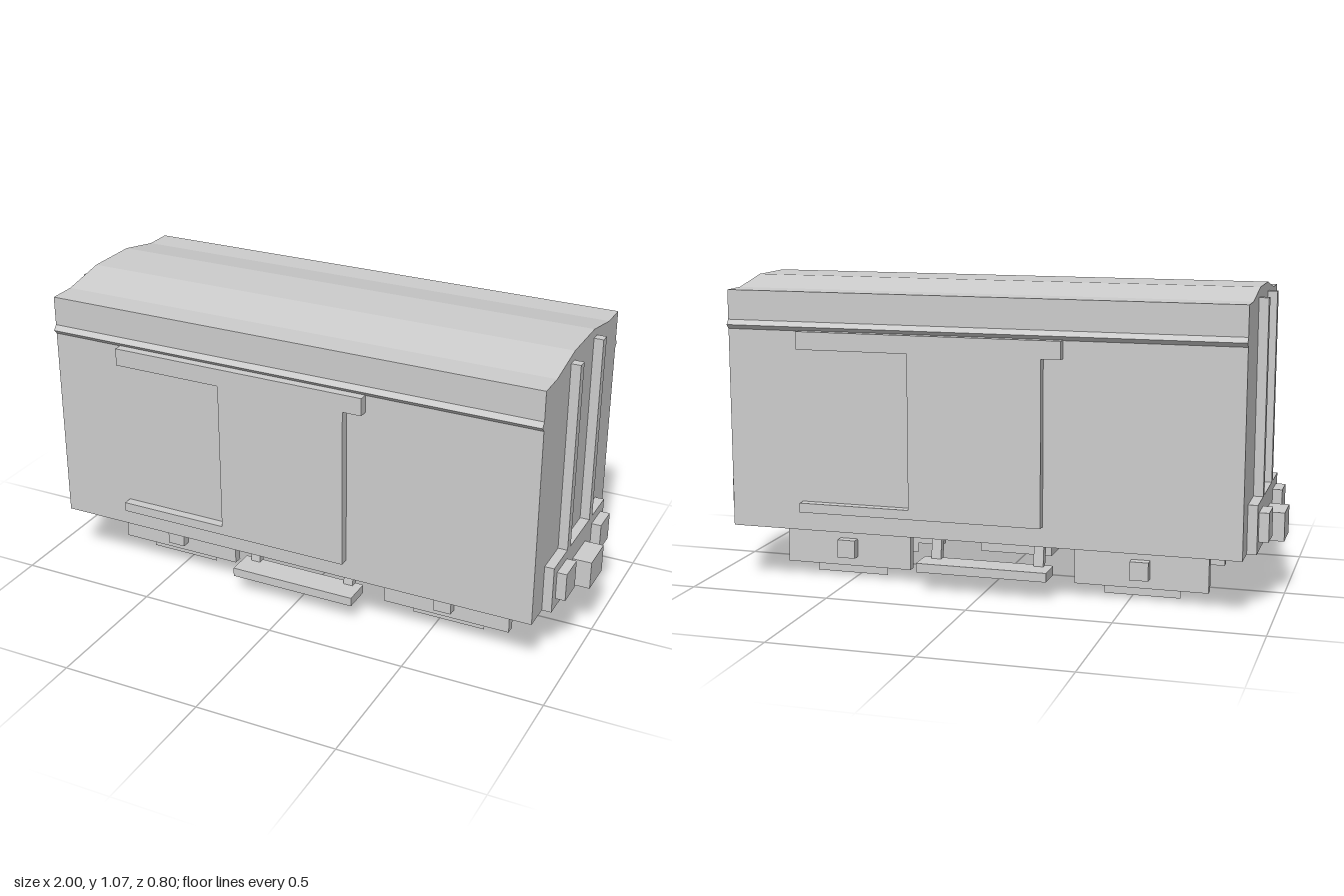
import * as THREE from 'three';

const grey = new THREE.MeshStandardMaterial({ color: 0xcccccc, flatShading: true });
const thin = new THREE.MeshStandardMaterial({ color: 0xcccccc, flatShading: true, side: THREE.DoubleSide });

// box given by its extents along each axis
function box(parent, name, [x0, x1], [y0, y1], [z0, z1]) {
  const mesh = new THREE.Mesh(new THREE.BoxGeometry(x1 - x0, y1 - y0, z1 - z0), grey);
  mesh.position.set((x0 + x1) / 2, (y0 + y1) / 2, (z0 + z1) / 2);
  mesh.name = name;
  parent.add(mesh);
}

const shapeOf = (points) => new THREE.Shape(points.map(([a, b]) => new THREE.Vector2(a, b)));

// extrude a (z, y) outline along x from x0 to x1
function alongX(parent, name, points, x0, x1) {
  const geo = new THREE.ExtrudeGeometry(shapeOf(points), { depth: x1 - x0, bevelEnabled: false });
  geo.rotateY(-Math.PI / 2).translate(x1, 0, 0);
  const mesh = new THREE.Mesh(geo, grey);
  mesh.name = name;
  parent.add(mesh);
}

export function createModel() {
  const wagon = new THREE.Group();
  wagon.name = 'boxWagon';

  // body with rain strips and faceted roof
  const half = [[0.367, 0.2], [0.367, 0.9], [0.381, 0.915], [0.367, 0.932],
    [0.367, 1.035], [0.267, 1.035], [0.1, 1.067]];
  const mirrored = half.map(([z, y]) => [-z, y]).reverse();
  alongX(wagon, 'body', [...half, ...mirrored], -0.9, 0.9);

  // everything on one half turn: end fittings, sliding door, axle, step
  for (const turn of [0, Math.PI]) {
    const side = new THREE.Group();
    side.name = turn ? 'rearHalf' : 'frontHalf';
    side.rotation.y = turn;
    wagon.add(side);

    // end wall fittings
    box(side, 'bufferBeam', [0.9, 0.933], [0.2, 0.367], [-0.267, 0.267]);
    box(side, 'coupler', [0.933, 1], [0.2, 0.3], [-0.067, 0.067]);
    for (const s of [-1, 1]) {
      const span = (a, b) => (s > 0 ? [a, b] : [-b, -a]);
      box(side, 'endPost', [0.9, 0.933], [0.367, 1.035], span(0.1, 0.133));
      box(side, 'buffer', [0.933, 0.967], [0.235, 0.335], span(0.133, 0.233));

      // axle guard with the lower edge of its wheel
      box(side, 'axleGuard', [0.3, 0.767], [0.035, 0.2], span(0.167, 0.2));
      const wheel = new THREE.Mesh(new THREE.PlaneGeometry(0.267, 0.035), thin);
      wheel.position.set(0.533, 0.0175, s * 0.167);
      wheel.name = 'wheelEdge';
      side.add(wheel);
    }
    box(side, 'axle', [0.5, 0.565], [0.07, 0.135], [-0.233, 0.233]);

    // sliding door with its top and bottom rails
    const door = new THREE.Mesh(new THREE.ExtrudeGeometry(shapeOf([
      [-0.635, 0.27], [0.23, 0.27], [0.23, 0.84], [0.297, 0.84], [0.297, 0.902],
      [-0.635, 0.902], [-0.635, 0.84], [-0.235, 0.84], [-0.235, 0.303], [-0.635, 0.303],
    ]), { depth: 0.033, bevelEnabled: false }), grey);
    door.position.z = 0.367;
    door.name = 'slidingDoor';
    side.add(door);
  }

  // footboards on slanted struts
  for (const s of [-1, 1]) {
    box(wagon, 'footboard', [-0.233, 0.233], [0.068, 0.1], s > 0 ? [0.233, 0.333] : [-0.333, -0.233]);
    const strut = [[0.235, 0.065], [0.26, 0.068], [0.243, 0.2], [0.21, 0.2]].map(([z, y]) => [s * z, y]);
    for (const x of [-0.203, 0.167]) alongX(wagon, 'footboardStrut', strut, x, x + 0.035);
  }

  // underfloor equipment box
  box(wagon, 'underfloorBox', [-0.167, 0.1], [0.07, 0.2], [0, 0.133]);

  return wagon;
}
